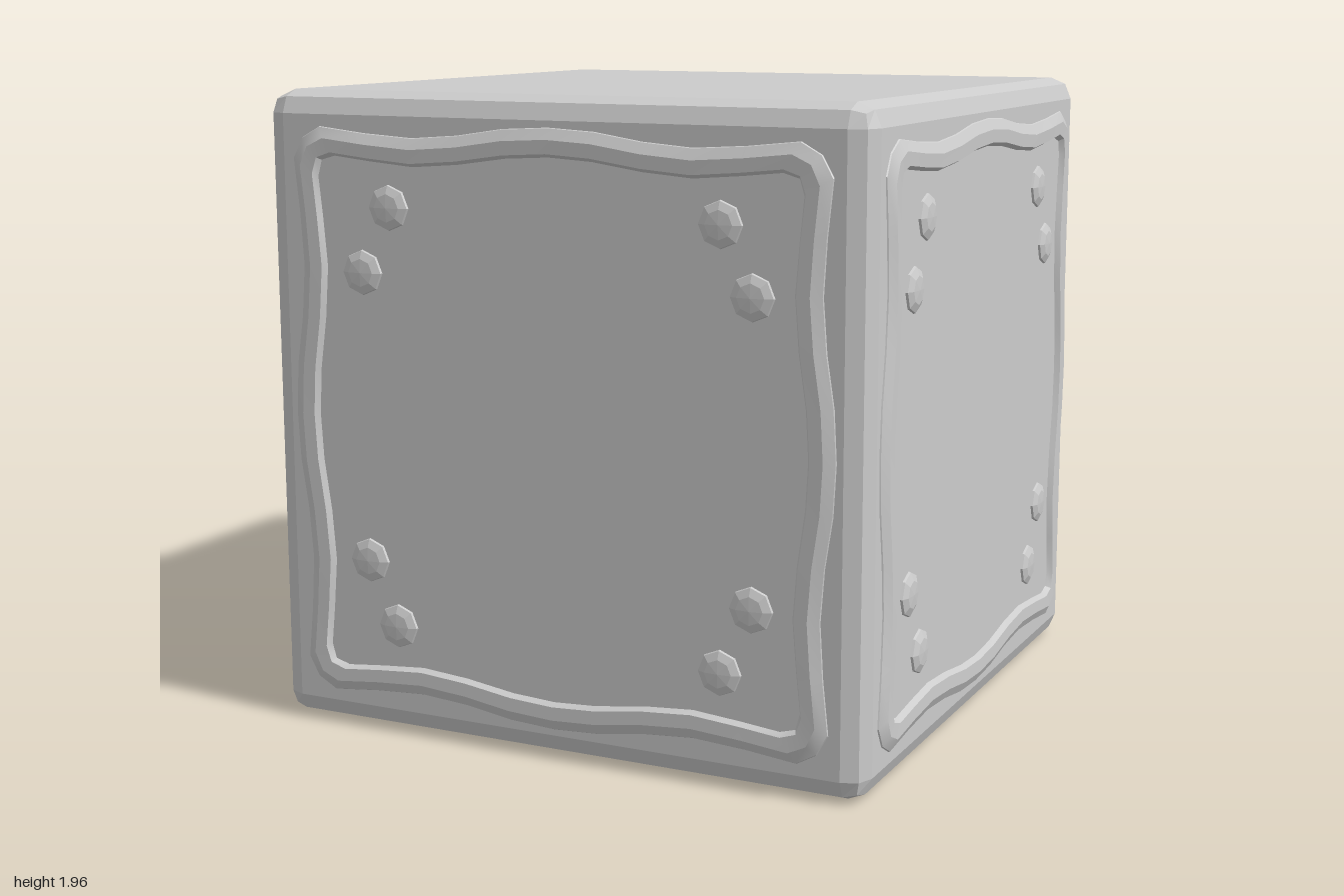
import * as THREE from 'three';
import { toCreasedNormals } from 'three/addons/utils/BufferGeometryUtils.js';
import { RoundedBoxGeometry } from 'three/addons/geometries/RoundedBoxGeometry.js';

const HALF = 0.98; // half the size of the block

// One eighth of the wavy trim (top middle to corner): outer x, y, inner x, y
const EIGHTH = [
  [0, 0.893, 0, 0.803], [0.15, 0.885, 0.14, 0.795], [0.3, 0.862, 0.3, 0.772],
  [0.455, 0.85, 0.455, 0.76], [0.62, 0.86, 0.6, 0.772], [0.78, 0.877, 0.725, 0.785],
  [0.842, 0.842, 0.772, 0.772],
];

// Trim cross-section: fraction from outer to inner edge, height above the face
const PROFILE = [[0, -0.005], [0.05, 0.004], [0.4, 0.02], [0.85, 0.018], [1, -0.005]];

// Mirror the eighth over the diagonal, then turn the quarter four times
function trimLoop() {
  const mirrored = EIGHTH.slice(1, -1).reverse().map(([a, b, c, d]) => [b, a, d, c]);
  let quarter = [...EIGHTH, ...mirrored];
  const loop = [];
  for (let k = 0; k < 4; k++) {
    loop.push(...quarter);
    quarter = quarter.map(([a, b, c, d]) => [b, -a, d, -c]);
  }
  return loop;
}

function trimGeometry() {
  const loop = trimLoop();
  const n = loop.length, m = PROFILE.length;
  const positions = [], index = [];
  loop.forEach(([ox, oy, ix, iy], i) => {
    for (const [t, h] of PROFILE) positions.push(ox + (ix - ox) * t, oy + (iy - oy) * t, h);
    for (let j = 0; j < m - 1; j++) {
      const a = i * m + j, b = ((i + 1) % n) * m + j;
      index.push(a, a + 1, b, b, a + 1, b + 1);
    }
  });
  const geometry = new THREE.BufferGeometry();
  geometry.setAttribute('position', new THREE.Float32BufferAttribute(positions, 3));
  geometry.setIndex(index);
  return toCreasedNormals(geometry, 0.4);
}

// Low faceted dome facing +z
function rivetGeometry() {
  const profile = [[0.07, -0.005], [0.066, 0.007], [0.042, 0.017], [0, 0.02]];
  return new THREE.LatheGeometry(profile.map(([r, h]) => new THREE.Vector2(r, h)), 8)
    .rotateX(Math.PI / 2);
}

export function createModel() {
  const model = new THREE.Group();
  model.name = 'block';
  const smooth = new THREE.MeshStandardMaterial({ color: 0xcccccc });
  const faceted = new THREE.MeshStandardMaterial({ color: 0xcccccc, flatShading: true });

  // Block with a two-step bevel on every edge
  const body = new THREE.Mesh(new RoundedBoxGeometry(2 * HALF, 2 * HALF, 2 * HALF, 1, 0.07), faceted);
  body.name = 'body';
  body.position.y = HALF;
  model.add(body);

  // The four sides share the same trim and rivets
  const trimShape = trimGeometry(), rivetShape = rivetGeometry();
  ['front', 'left', 'back', 'right'].forEach((side, k) => {
    const panel = new THREE.Group();
    panel.name = side + 'Panel';
    panel.rotation.y = k * Math.PI / 2;
    panel.position.y = HALF;

    const trim = new THREE.Mesh(trimShape, smooth);
    trim.name = 'wavyTrim';
    trim.position.z = HALF;
    panel.add(trim);

    // A pair of rivets in each corner
    for (const sx of [-1, 1]) for (const sy of [-1, 1]) {
      for (const [x, y] of [[0.54, 0.64], [0.637, 0.443]]) {
        const rivet = new THREE.Mesh(rivetShape, faceted);
        rivet.name = 'rivet';
        rivet.position.set(sx * x, sy * y, HALF);
        panel.add(rivet);
      }
    }
    model.add(panel);
  });
  return model;
}
